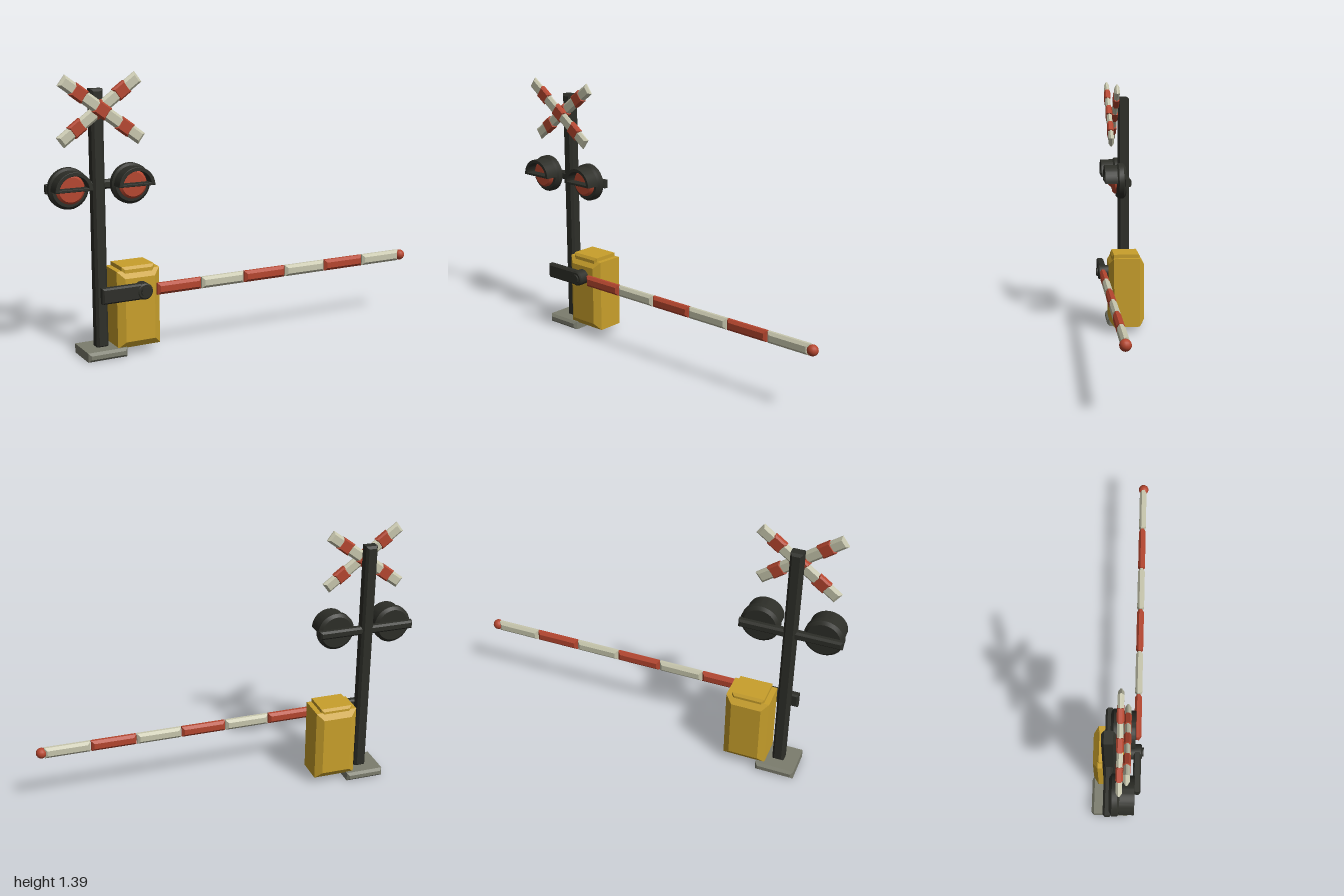
import * as THREE from 'three';
import { toCreasedNormals } from 'three/addons/utils/BufferGeometryUtils.js';

const paint = (name, color) => {
  const m = new THREE.MeshStandardMaterial({ color });
  m.name = name;
  return m;
};

export function createModel() {
  const red = paint('signal red', 0xb5462f);
  const white = paint('warm white', 0xc8c7ae);
  const dark = paint('dark iron', 0x2d2e28);
  const yellow = paint('cabinet yellow', 0xc9a02b);
  const grey = paint('concrete grey', 0x7c7d6e);

  const model = new THREE.Group();
  model.name = 'levelCrossing';

  const add = (parent, name, geometry, material, x = 0, y = 0, z = 0) => {
    const mesh = new THREE.Mesh(geometry, material);
    mesh.name = name;
    mesh.position.set(x, y, z);
    parent.add(mesh);
    return mesh;
  };

  // Outline extruded along z with chamfered front and back rims, centred on z
  const extrude = (shape, depth, size, thick, curveSegments = 12) => {
    const g = new THREE.ExtrudeGeometry(shape, {
      depth: depth - 2 * thick, bevelEnabled: true, bevelSegments: 1,
      bevelSize: size, bevelThickness: thick, bevelOffset: -size, curveSegments,
    });
    g.translate(0, 0, thick - depth / 2);
    return g;
  };

  const slab = (w, h, d, size, thick = size) => {
    const s = new THREE.Shape();
    s.moveTo(-w / 2, -h / 2);
    s.lineTo(w / 2, -h / 2);
    s.lineTo(w / 2, h / 2);
    s.lineTo(-w / 2, h / 2);
    s.closePath();
    return extrude(s, d, size, thick);
  };

  // Round solid facing +z from [radius, z] pairs, listed back to front
  const turned = (points, sides) => {
    const g = new THREE.LatheGeometry(points.map(([r, z]) => new THREE.Vector2(r, z)), sides);
    g.rotateX(Math.PI / 2);
    return toCreasedNormals(g, 0.5);
  };

  // Base and post
  const postX = -0.74, postZ = -0.032;
  add(model, 'base', slab(0.205, 0.046, 0.205, 0.013), grey, postX, 0.023, postZ);
  add(model, 'post', slab(0.062, 1.275, 0.065, 0.012), dark, postX, 0.6775, postZ);

  // Crossed boards: white planks wrapped with red bands
  for (const [name, angle, z] of [['frontBoard', -36.5, 0.051], ['backBoard', 36.5, 0.018]]) {
    const board = new THREE.Group();
    board.name = name;
    board.position.set(postX, 1.22, z);
    board.rotation.z = THREE.MathUtils.degToRad(angle);
    add(board, 'plank', slab(0.494, 0.062, 0.029, 0.012, 0.011), white);
    for (const x of [-0.141, 0, 0.141]) {
      add(board, 'redBand', slab(0.072, 0.068, 0.034, 0.008), red, x);
    }
    model.add(board);
  }

  // Warning lamps on a crossbar
  add(model, 'lampBar', slab(0.52, 0.044, 0.042, 0.01), dark, postX, 0.852, -0.036);

  const hoodShape = new THREE.Shape();
  hoodShape.absarc(0, 0, 0.093, 0, Math.PI, false);
  hoodShape.closePath();
  const hoodHole = new THREE.Path();
  const a = Math.asin(0.013 / 0.074);
  hoodHole.absarc(0, 0, 0.074, a, Math.PI - a, false);
  hoodHole.closePath();
  hoodShape.holes.push(hoodHole);
  const hoodGeometry = toCreasedNormals(extrude(hoodShape, 0.072, 0.002, 0.002, 16), 0.5);

  const housing = turned([[0, -0.03], [0.084, -0.03], [0.1, -0.016], [0.1, 0.01],
    [0.086, 0.024], [0, 0.024]], 28);
  const lens = turned([[0, 0.02], [0.071, 0.02], [0.071, 0.034], [0.06, 0.044], [0, 0.044]], 28);

  for (const side of [-1, 1]) {
    const lamp = new THREE.Group();
    lamp.name = side < 0 ? 'rightLamp' : 'leftLamp';
    lamp.position.set(postX + side * 0.159, 0.853, 0);
    add(lamp, 'lampHousing', housing, dark);
    add(lamp, 'lampLens', lens, red);
    add(lamp, 'lampHood', hoodGeometry, dark, 0, -0.004, 0.054);
    model.add(lamp);
  }

  // Drive cabinet
  const cabX = -0.568, cabZ = -0.028;
  add(model, 'cabinet', slab(0.226, 0.39, 0.196, 0.035, 0.026), yellow, cabX, 0.235, cabZ);
  add(model, 'cabinetLid', slab(0.172, 0.05, 0.158, 0.014, 0.01), yellow, cabX, 0.425, cabZ + 0.002);

  // Pivot hub and counterweight arm
  const armY = 0.336, armZ = 0.104;
  add(model, 'counterArm', slab(0.225, 0.078, 0.04, 0.008), dark, -0.672, armY, armZ);
  add(model, 'pivotHub', turned([[0, 0.06], [0.041, 0.06], [0.041, 0.122], [0.034, 0.128],
    [0.024, 0.128], [0.024, 0.137], [0, 0.137]], 16), dark, -0.565, armY, 0);

  // Striped barrier arm with a round tip
  for (let i = 0; i < 6; i++) {
    add(model, i % 2 ? 'whiteArmSection' : 'redArmSection', slab(0.238, 0.058, 0.038, 0.014, 0.012),
      i % 2 ? white : red, -0.376 + i * 0.2426, armY, armZ);
  }
  add(model, 'armTip', new THREE.SphereGeometry(0.028, 14, 10), red, 0.971, armY, armZ + 0.002);

  return model;
}
